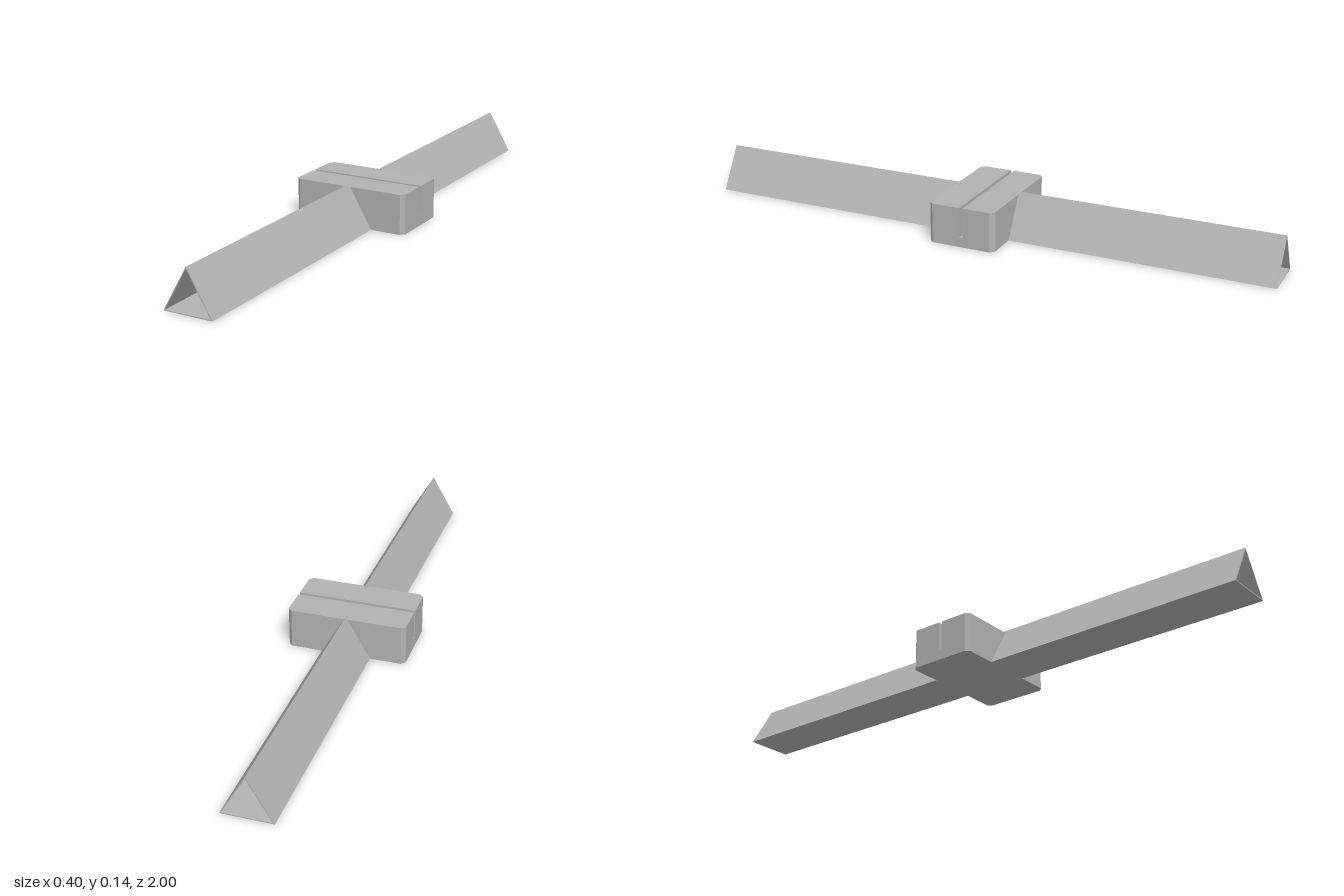
import * as THREE from 'three';

const W = 0.2, D = 0.115, C = 0.013;   // block half width, half depth, corner chamfer
const TOP = 0.134, SLOT_Y = 0.033, SLOT = 0.0065;

const shapeOf = pts => new THREE.Shape(pts.map(([x, y]) => new THREE.Vector2(x, y)));

// Upright prism with a plan drawn in (x, -z), from y0 to y1
function slab(pts, y0, y1) {
  const g = new THREE.ExtrudeGeometry(shapeOf(pts), { depth: y1 - y0, bevelEnabled: false });
  return g.rotateX(-Math.PI / 2).translate(0, y0, 0);
}

// Hollow triangular tube running along z
function triangularTube(z0, z1) {
  const half = 0.0825, height = 0.143, wall = 0.003;
  const shape = shapeOf([[-half, 0], [half, 0], [0, height]]);
  const inner = half - wall * Math.sqrt(3);
  shape.holes.push(new THREE.Path([
    new THREE.Vector2(-inner, wall),
    new THREE.Vector2(0, height - 2 * wall),
    new THREE.Vector2(inner, wall),
  ]));
  return new THREE.ExtrudeGeometry(shape, { depth: z1 - z0, bevelEnabled: false }).translate(0, 0, z0);
}

export function createModel() {
  const model = new THREE.Group();
  model.name = 'slottedTubeConnector';
  const gray = new THREE.MeshStandardMaterial({ color: 0xb2b2b2 });
  gray.name = 'gray';
  const add = (name, geometry) => {
    const mesh = new THREE.Mesh(geometry, gray);
    mesh.name = name;
    model.add(mesh);
    return mesh;
  };

  // Solid base of the block, below the slot
  add('blockBase', slab([
    [-W + C, -D], [W - C, -D], [W, -D + C], [W, D - C],
    [W - C, D], [-W + C, D], [-W, D - C], [-W, -D + C],
  ], 0, SLOT_Y));

  // Two upper halves, leaving the slot open between them
  const halfPlan = [[-W + C, -D], [W - C, -D], [W, -D + C], [W, -SLOT], [-W, -SLOT], [-W, -D + C]];
  add('blockFrontHalf', slab(halfPlan, SLOT_Y, TOP));
  add('blockBackHalf', slab(halfPlan, SLOT_Y, TOP).rotateY(Math.PI));

  // Tubes set a little way into the block
  add('frontTube', triangularTube(0.1, 1));
  add('backTube', triangularTube(-1, -0.1));
  return model;
}
